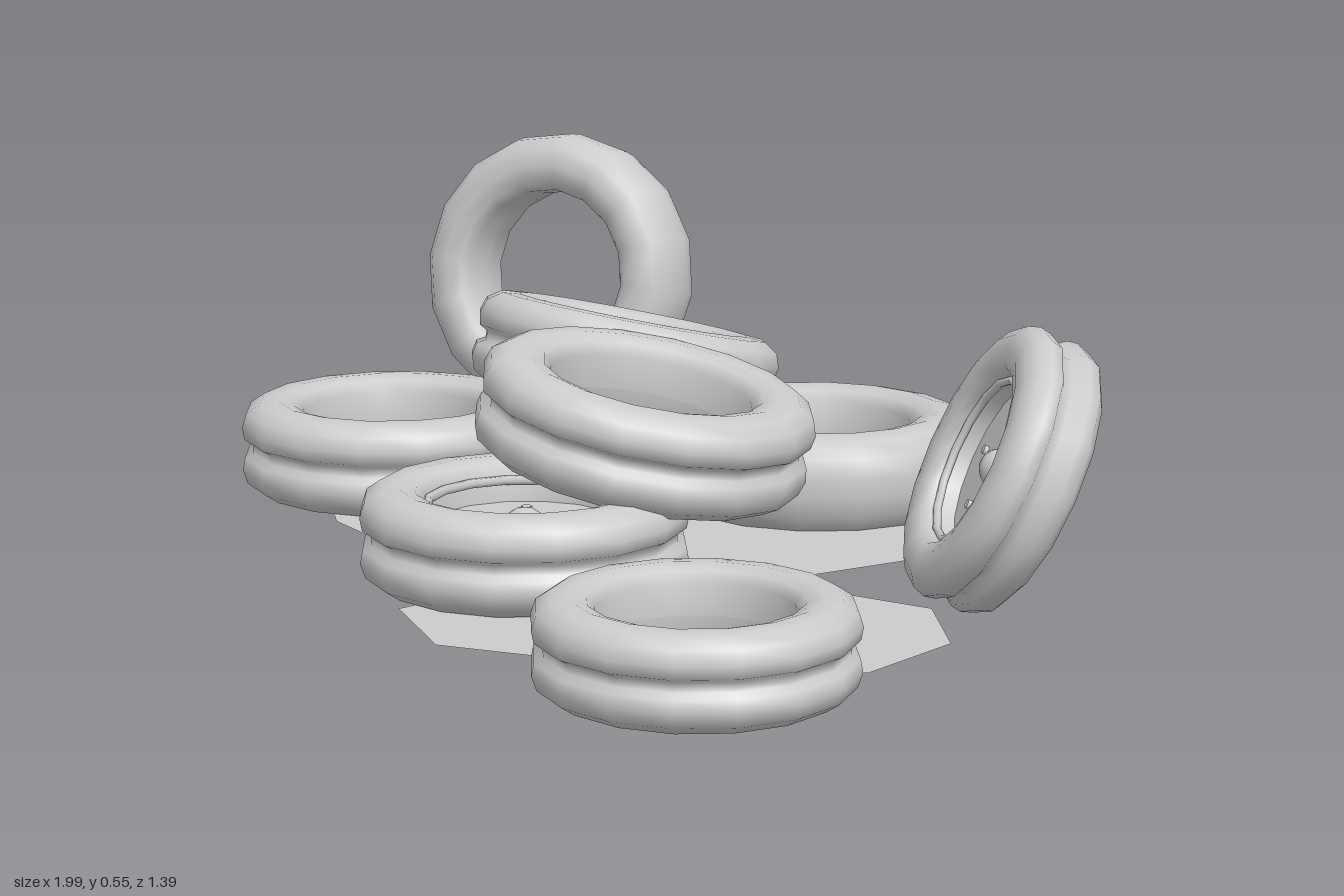
import * as THREE from 'three';

const grey = new THREE.MeshStandardMaterial({ color: 0xcccccc });
const greyThin = new THREE.MeshStandardMaterial({ color: 0xcccccc, side: THREE.DoubleSide });
const SIDES = 16;

// Half profiles (radius, height) of a unit tyre, from the inner wall to the tread centre
const groovedHalf = [[0.6, 0], [0.61, -0.2], [0.66, -0.27], [0.76, -0.3], [0.88, -0.29], [0.97, -0.23],
  [1, -0.14], [0.985, -0.06], [0.93, -0.03]];
const plainHalf = [[0.59, 0], [0.6, -0.2], [0.66, -0.27], [0.77, -0.3], [0.9, -0.27], [0.975, -0.18], [1, -0.06]];

function tyreGeometry(half) {
  const mirrored = half.map(([r, y]) => [r, -y]).reverse();
  return new THREE.LatheGeometry([...half, ...mirrored].map(([r, y]) => new THREE.Vector2(r, y)), SIDES);
}
const groovedTyre = tyreGeometry(groovedHalf);
const plainTyre = tyreGeometry(plainHalf);

function part(parent, name, geometry, x = 0, y = 0, z = 0) {
  const mesh = new THREE.Mesh(geometry, grey);
  mesh.name = name;
  mesh.position.set(x, y, z);
  parent.add(mesh);
  return mesh;
}

// Wheel disc with rim lip, hub and five bolts, alike on both sides
function addRim(wheel) {
  part(wheel, 'rimDisc', new THREE.CylinderGeometry(0.62, 0.62, 0.08, SIDES));
  for (const side of [-1, 1]) {
    const lip = part(wheel, 'rimLip', new THREE.TorusGeometry(0.59, 0.03, 6, SIDES), 0, side * 0.18, 0);
    lip.rotation.x = Math.PI / 2;
  }
  part(wheel, 'hub', new THREE.SphereGeometry(0.15, 12, 8));
  for (let i = 0; i < 5; i++) {
    const a = (i / 5) * Math.PI * 2;
    part(wheel, 'bolt', new THREE.CylinderGeometry(0.035, 0.035, 0.14, 8), 0.36 * Math.cos(a), 0, 0.36 * Math.sin(a));
  }
}

// centre, radius, thickness scale, axis direction
const tyres = [
  { name: 'backTyre', at: [0.02, 0.125, -0.335], r: 0.258, axis: [0, 1, 0], plain: true },
  { name: 'rightLowTyre', at: [-0.445, 0.128, 0.17], r: 0.25, axis: [0, 1, 0] },
  { name: 'frontLowWheel', at: [0.17, 0.127, 0.33], r: 0.242, axis: [0, 1, 0], rim: true },
  { name: 'frontLeftTyre', at: [0.785, 0.13, 0.48], r: 0.215, axis: [0, 1, 0] },
  { name: 'rightUpperTyre', at: [-0.18, 0.275, -0.1], r: 0.247, axis: [0, 0.972, -0.233] },
  { name: 'leftUpperTyre', at: [0.192, 0.27, 0.13], r: 0.252, axis: [0.17, 0.975, -0.11] },
  { name: 'uprightTyre', at: [-0.752, 0.308, -0.367], r: 0.252, axis: [0.44, 0.14, 0.89], plain: true },
  { name: 'leaningWheel', at: [0.553, 0.212, -0.25], r: 0.214, axis: [-0.45, 0.42, 0.79], rim: true },
];

// Flat ground patch outlines as x, z
const patches = [
  [[-0.755, -0.7], [-0.595, -0.66], [-0.51, -0.54], [-0.415, -0.45], [-0.4, -0.28], [-0.58, -0.15],
    [-0.8, -0.22], [-0.835, -0.52]],
  [[-0.71, -0.02], [-0.58, -0.15], [-0.4, -0.28], [-0.27, -0.4], [0, -0.46], [0.22, -0.43], [0.4, -0.33],
    [0.415, -0.18], [0.395, 0], [0.3, 0.25], [-0.06, 0.39], [-0.29, 0.375], [-0.66, 0.2]],
  [[0.64, -0.045], [0.79, 0.05], [0.83, 0.23], [0.72, 0.36], [0.57, 0.5], [0.385, 0.62], [0.2, 0.565],
    [0.17, 0.3], [0.42, 0.04]],
];

export function createModel() {
  const model = new THREE.Group();
  model.name = 'tyrePile';
  const up = new THREE.Vector3(0, 1, 0);

  for (const t of tyres) {
    const wheel = new THREE.Group();
    wheel.name = t.name;
    part(wheel, 'tyre', t.plain ? plainTyre : groovedTyre);
    if (t.rim) addRim(wheel);
    wheel.position.set(...t.at);
    wheel.quaternion.setFromUnitVectors(up, new THREE.Vector3(...t.axis).normalize());
    wheel.scale.setScalar(t.r);
    model.add(wheel);
  }

  patches.forEach((outline, i) => {
    const shape = new THREE.Shape(outline.map(([x, z]) => new THREE.Vector2(x, -z)));
    const patch = new THREE.Mesh(new THREE.ShapeGeometry(shape).rotateX(-Math.PI / 2), greyThin);
    patch.name = 'groundPatch';
    patch.position.y = 0.054 + i * 0.001;
    model.add(patch);
  });
  return model;
}
